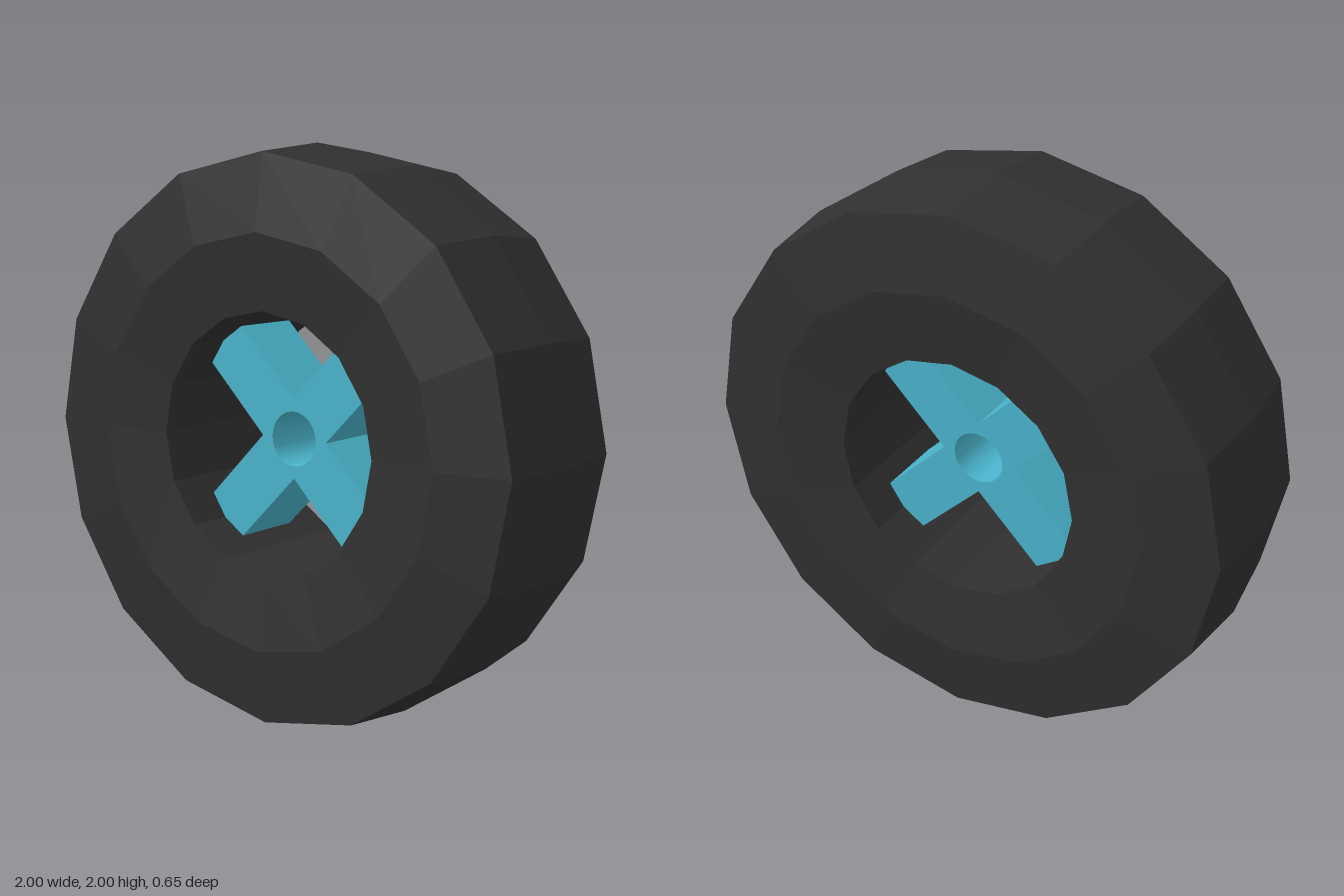
import * as THREE from 'three';

const SIDES = 16;

// Faceted tyre: closed cross-section (radius, width) spun around the axle
function makeTyre() {
  const section = [
    [0.97, -0.29], [1, 0], [0.97, 0.29], [0.71, 0.325],
    [0.45, 0.29], [0.45, -0.29], [0.71, -0.325], [0.97, -0.29],
  ].map(([r, w]) => new THREE.Vector2(r, w));
  const geometry = new THREE.LatheGeometry(section, SIDES);
  geometry.rotateX(Math.PI / 2);
  const material = new THREE.MeshStandardMaterial({ color: 0x303030, flatShading: true });
  const tyre = new THREE.Mesh(geometry, material);
  tyre.name = 'tyre';
  return tyre;
}

// Cross of four spokes with a round axle hole
function makeSpokes() {
  const half = 0.098, reach = 0.45, depth = 0.26;
  const shape = new THREE.Shape();
  for (let i = 0; i < 4; i++) {
    const a = Math.PI / 4 + (i * Math.PI) / 2;
    const c = Math.cos(a), s = Math.sin(a);
    for (const [u, v] of [[half, -half], [reach, -half], [reach, half]]) {
      const x = u * c - v * s, y = u * s + v * c;
      if (i === 0 && u === half) shape.moveTo(x, y);
      else shape.lineTo(x, y);
    }
  }
  shape.closePath();
  const hole = new THREE.Path();
  hole.absarc(0, 0, 0.095, 0, Math.PI * 2, true);
  shape.holes.push(hole);

  const geometry = new THREE.ExtrudeGeometry(shape, { depth, bevelEnabled: false, curveSegments: 32 });
  geometry.translate(0, 0, -depth / 2);
  const material = new THREE.MeshStandardMaterial({ color: 0x4ab4cc, flatShading: true });
  const spokes = new THREE.Mesh(geometry, material);
  spokes.name = 'spokes';
  return spokes;
}

export function createModel() {
  const wheel = new THREE.Group();
  wheel.name = 'wheel';
  wheel.add(makeTyre(), makeSpokes());
  wheel.children.forEach((part) => { part.position.y = 1; });
  return wheel;
}
